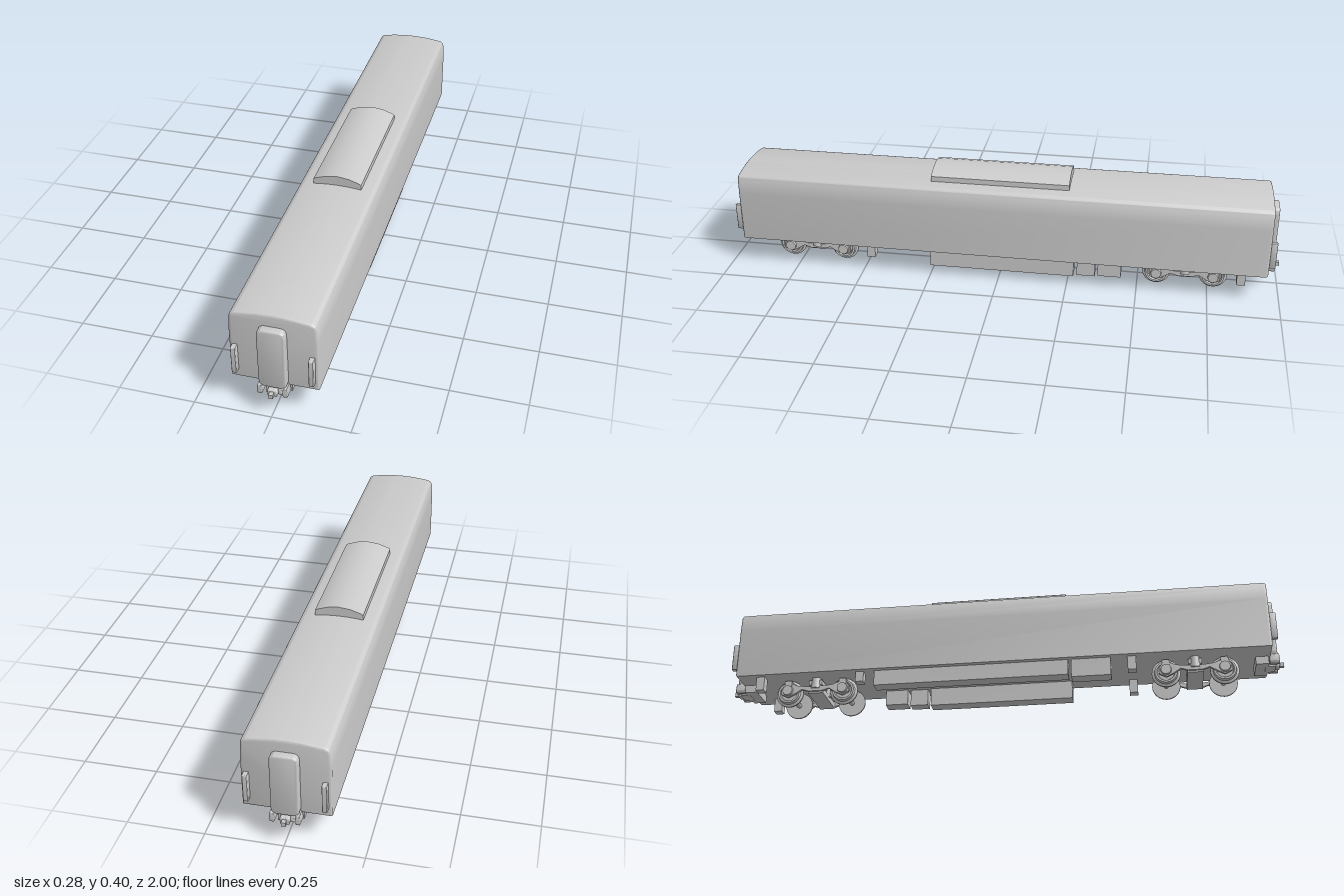
import * as THREE from 'three';
import { toCreasedNormals } from 'three/addons/utils/BufferGeometryUtils.js';

const material = new THREE.MeshStandardMaterial({ color: 0xcccccc });

function add(parent, name, geometry, x = 0, y = 0, z = 0) {
  const mesh = new THREE.Mesh(geometry, material);
  mesh.name = name;
  mesh.position.set(x, y, z);
  parent.add(mesh);
  return mesh;
}

// Box given by its limits on each axis
function box(parent, name, x0, x1, y0, y1, z0, z1) {
  return add(parent, name, new THREE.BoxGeometry(x1 - x0, y1 - y0, z1 - z0),
    (x0 + x1) / 2, (y0 + y1) / 2, (z0 + z1) / 2);
}

// Extrusion along z, centred on z = 0, with an optional rounded rim
function prism(shape, length, bevel = 0, crease = 0.6) {
  const geo = new THREE.ExtrudeGeometry(shape, {
    depth: length - 2 * bevel, curveSegments: 12, bevelEnabled: bevel > 0,
    bevelSize: bevel, bevelThickness: bevel, bevelOffset: -bevel, bevelSegments: 3,
  });
  geo.translate(0, 0, -length / 2 + bevel);
  return toCreasedNormals(geo, crease);
}

function roundedRect(x0, x1, y0, y1, r) {
  const s = new THREE.Shape();
  s.moveTo(x0 + r, y0);
  s.lineTo(x1 - r, y0);
  s.quadraticCurveTo(x1, y0, x1, y0 + r);
  s.lineTo(x1, y1 - r);
  s.quadraticCurveTo(x1, y1, x1 - r, y1);
  s.lineTo(x0 + r, y1);
  s.quadraticCurveTo(x0, y1, x0, y1 - r);
  s.lineTo(x0, y0 + r);
  s.quadraticCurveTo(x0, y0, x0 + r, y0);
  return s;
}

function bodyShape() {
  const s = new THREE.Shape();
  s.moveTo(-0.139, 0.098);
  s.lineTo(0.139, 0.098);
  s.lineTo(0.139, 0.28);
  s.lineTo(0.136, 0.33);
  s.quadraticCurveTo(0.134, 0.347, 0.118, 0.35);
  s.quadraticCurveTo(0.06, 0.361, 0, 0.361);
  s.quadraticCurveTo(-0.06, 0.361, -0.118, 0.35);
  s.quadraticCurveTo(-0.134, 0.347, -0.136, 0.33);
  s.lineTo(-0.139, 0.28);
  return s;
}

function polygon(points) {
  return new THREE.Shape(points.map(([x, y]) => new THREE.Vector2(x, y)));
}

// Flanged wheel, profile as radius and distance from the car's centre line
const wheelGeo = toCreasedNormals(new THREE.LatheGeometry(
  [[0, 0.054], [0.05, 0.054], [0.05, 0.06], [0.041, 0.063], [0.039, 0.076],
    [0.032, 0.076], [0.029, 0.07], [0.014, 0.07], [0, 0.072]]
    .map(([r, h]) => new THREE.Vector2(r, h)), 32), 0.5);

// Side frame: thick over the axles, slender and low in between
const frameShape = polygon([
  [-0.125, 0.04], [-0.1, 0.028], [-0.075, 0.04], [-0.05, 0.056], [-0.025, 0.048],
  [0.025, 0.048], [0.05, 0.056], [0.075, 0.04], [0.1, 0.028], [0.125, 0.04],
  [0.125, 0.062], [0.112, 0.08], [0.088, 0.08], [0.065, 0.07], [0.03, 0.066],
  [-0.03, 0.066], [-0.065, 0.07], [-0.088, 0.08], [-0.112, 0.08], [-0.125, 0.062]]);

function createBogie() {
  const bogie = new THREE.Group();
  bogie.name = 'bogie';
  for (const z of [-0.101, 0.101]) {
    add(bogie, 'axle', new THREE.CylinderGeometry(0.009, 0.009, 0.16, 16), 0, 0.05, z)
      .rotation.z = Math.PI / 2;
    for (const s of [-1, 1]) {
      add(bogie, 'wheel', wheelGeo, 0, 0.05, z).rotation.z = -s * Math.PI / 2;
      add(bogie, 'axleBox', new THREE.CylinderGeometry(0.018, 0.022, 0.02, 20), s * 0.084, 0.053, z)
        .rotation.z = -s * Math.PI / 2;
      box(bogie, 'axleSpring', s * 0.082 - 0.007, s * 0.082 + 0.007, 0.07, 0.09, z - 0.013, z + 0.013);
    }
  }
  const frameGeo = prism(frameShape, 0.01);
  frameGeo.rotateY(-Math.PI / 2);
  for (const s of [-1, 1]) {
    add(bogie, 'sideFrame', frameGeo, s * 0.081);
    add(bogie, 'bolsterSpring', new THREE.CylinderGeometry(0.016, 0.019, 0.04, 20), s * 0.075, 0.078, 0);
  }
  box(bogie, 'transom', -0.078, 0.078, 0.042, 0.062, -0.028, 0.028);
  box(bogie, 'bolster', -0.085, 0.085, 0.072, 0.09, -0.024, 0.024);
  add(bogie, 'pivot', new THREE.CylinderGeometry(0.03, 0.03, 0.05, 24), 0, 0.08, 0);
  return bogie;
}

// Gangway, handrails and coupler on one end, facing +z
function createEnd() {
  const end = new THREE.Group();
  end.name = 'endFittings';
  add(end, 'gangwayDoor', prism(roundedRect(-0.044, 0.044, 0.1, 0.319, 0.022), 0.035, 0.005), 0, 0, 0.96);
  for (const s of [-1, 1]) {
    add(end, 'handrail', prism(roundedRect(-0.008, 0.008, 0.13, 0.228, 0.002), 0.028, 0.003), s * 0.121, 0, 0.961);
    // Tapered buffer feet hanging beside the coupler
    add(end, 'bufferFoot', prism(polygon([[-0.006, 0.073], [0.006, 0.073], [0.01, 0.082],
      [0.006, 0.108], [-0.006, 0.108], [-0.01, 0.082]]), 0.035, 0.003), s * 0.04, 0, 0.965);
  }
  box(end, 'couplerBeam', -0.052, 0.052, 0.07, 0.1, 0.9, 0.945);
  add(end, 'couplerCradle', prism(polygon([[-0.026, 0.07], [0, 0.066], [0.026, 0.07], [0.024, 0.098],
    [-0.024, 0.098]]), 0.035, 0.003), 0, 0, 0.952);
  add(end, 'couplerHead', prism(roundedRect(-0.015, 0.015, 0.071, 0.096, 0.005), 0.04, 0.003), 0, 0, 0.965);
  box(end, 'couplerPin', -0.007, 0.007, 0.076, 0.09, 0.97, 1);
  return end;
}

export function createModel() {
  const model = new THREE.Group();
  model.name = 'railCar';

  add(model, 'carBody', prism(bodyShape(), 1.907, 0.008));
  add(model, 'roofUnit', prism(polygon([[-0.085, 0.345], [0.085, 0.345], [0.084, 0.374], [0.076, 0.379],
    [0.04, 0.391], [0, 0.396], [-0.04, 0.391], [-0.076, 0.379], [-0.084, 0.374]]), 0.494));

  // Underfloor equipment on the +x side
  box(model, 'equipmentCase', 0.07, 0.12, 0.032, 0.1, -0.273, 0.251);
  box(model, 'equipmentSmallCase', 0.075, 0.117, 0.037, 0.1, -0.35, -0.285);
  box(model, 'equipmentEndCase', 0.07, 0.12, 0.042, 0.1, -0.443, -0.36);
  // Underfloor equipment on the -x side
  box(model, 'equipmentShortCase', -0.12, -0.07, 0.032, 0.1, 0.262, 0.4);
  box(model, 'equipmentLongCase', -0.12, -0.07, 0.042, 0.1, -0.443, 0.251);
  box(model, 'equipmentStep', -0.12, -0.09, 0.06, 0.1, -0.511, -0.482);
  for (const s of [-1, 1]) {
    for (const z of [0.473, -0.864]) {
      box(model, 'step', s * 0.104 - 0.016, s * 0.104 + 0.016, 0.048, 0.1, z - 0.015, z + 0.015);
    }
  }

  // Running gear and end fittings, front and back
  for (const z of [0.69, -0.668]) {
    const bogie = createBogie();
    bogie.position.z = z;
    model.add(bogie);
  }
  for (const angle of [0, Math.PI]) {
    const end = createEnd();
    end.rotation.y = angle;
    model.add(end);
  }
  return model;
}
